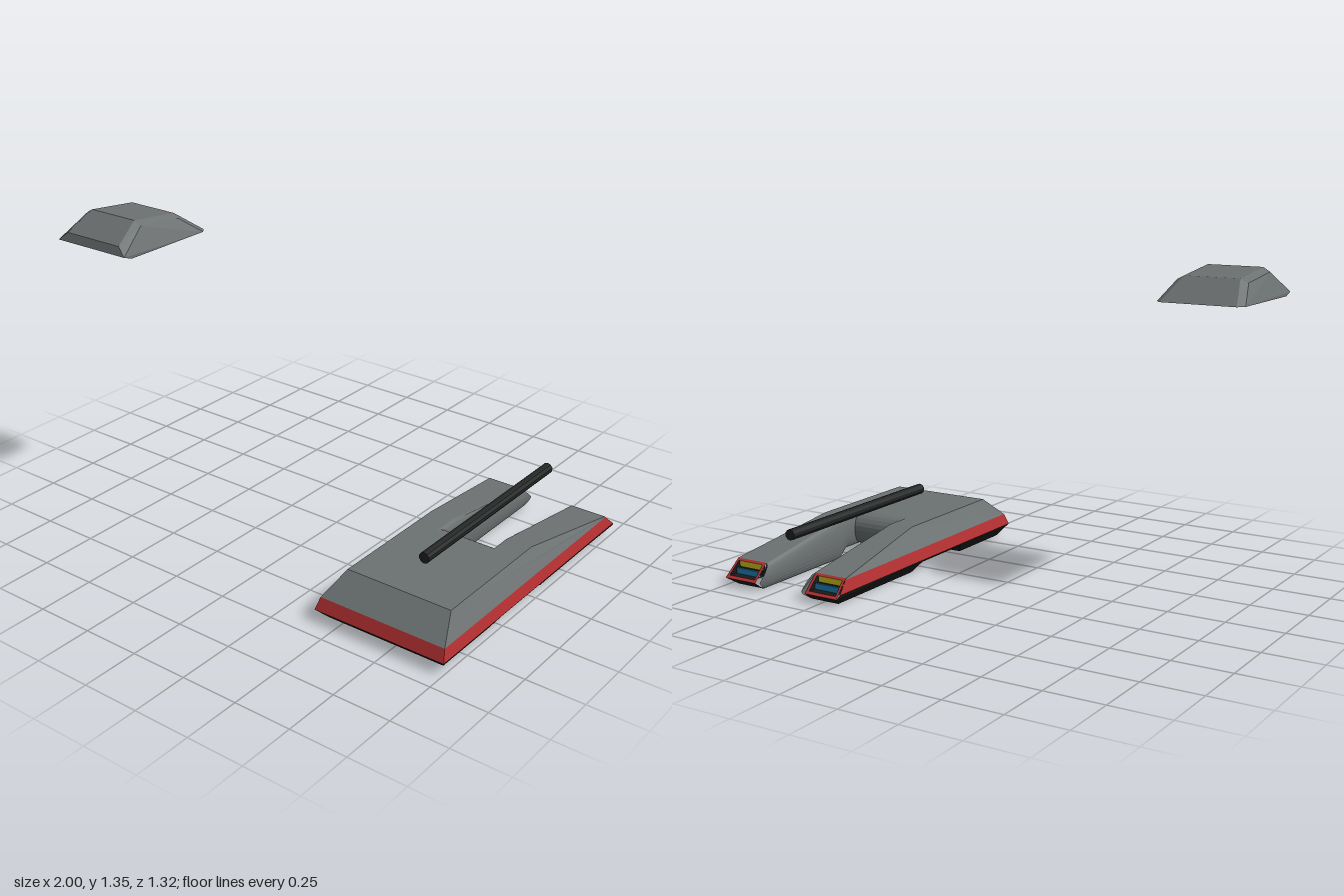
import * as THREE from 'three';
import { ConvexGeometry } from 'three/addons/geometries/ConvexGeometry.js';

const paint = (name, color) => {
  const m = new THREE.MeshStandardMaterial({ color, flatShading: true });
  m.name = name;
  return m;
};

// Builds flat polygons [points, outward direction], mirrored across x = 0
function mirroredFaces(faces) {
  const pos = [];
  for (const s of [1, -1]) {
    for (const [pts, dir] of faces) {
      const v = pts.map((p) => new THREE.Vector3(p[0] * s, p[1], p[2]));
      const out = new THREE.Vector3(dir[0] * s, dir[1], dir[2]);
      const n = new THREE.Vector3();
      v.forEach((p, i) => n.add(p.clone().cross(v[(i + 1) % v.length])));
      if (n.dot(out) < 0) v.reverse();
      for (let i = 1; i < v.length - 1; i++) {
        for (const p of [v[0], v[i], v[i + 1]]) pos.push(p.x, p.y, p.z);
      }
    }
  }
  const g = new THREE.BufferGeometry();
  g.setAttribute('position', new THREE.Float32BufferAttribute(pos, 3));
  g.computeVertexNormals();
  return g;
}

export function createModel() {
  const grey = paint('armourGrey', 0x6c7171);
  const red = paint('trimRed', 0xb83032);
  const black = paint('underbodyBlack', 0x1a1a1a);
  const dark = paint('barrelBlack', 0x222424);
  const blue = paint('glowBlue', 0x1f86bb);
  const yellow = paint('lampYellow', 0xd6c81c);

  const model = new THREE.Group();
  const hull = new THREE.Group();
  hull.name = 'hull';
  hull.position.x = 0.7;
  model.add(hull);
  const add = (parent, name, geo, mat) => {
    const m = new THREE.Mesh(geo, mat);
    m.name = name;
    parent.add(m);
    return m;
  };
  const UP = [0, 1, 0], DOWN = [0, -1, 0], SIDE = [1, 0, 0], FRONT = [0, 0, 1], BACK = [0, 0, -1];
  const w = 0.132; // inner edge of each arm

  // Upper armour: deck, sloping arms, nose and flanks
  add(hull, 'upperArmour', mirroredFaces([
    [[[0, 0.19, 0.53], [0.24, 0.19, 0.53], [0.24, 0.19, 0.07], [0, 0.19, 0.07]], UP],
    [[[w, 0.19, 0.07], [0.24, 0.19, 0.07], [0.24, 0.19, -0.05], [w, 0.19, -0.05]], UP],
    [[[w, 0.19, -0.05], [0.24, 0.19, -0.05], [0.287, 0.105, -0.585], [w, 0.105, -0.585]], UP],
    [[[0, 0.19, 0.53], [0.24, 0.19, 0.53], [0.288, 0.1, 0.64], [0, 0.1, 0.64]], FRONT],
    [[[0.24, 0.19, 0.53], [0.288, 0.1, 0.64], [0.288, 0.1, -0.59], [0.287, 0.105, -0.585], [0.24, 0.19, -0.05]], SIDE],
  ]), grey);

  // Rounded wall lining the slot between the arms
  const N = 12;
  const section = (top, bottom, zOf) => Array.from({ length: N + 1 }, (_, k) => {
    const a = (Math.PI * k) / N;
    const y = (top + bottom) / 2 + ((top - bottom) / 2) * Math.cos(a);
    return [w - 0.022 * Math.sin(a), y, zOf(y, a)];
  });
  const sections = [
    section(0.19, 0.04, (y, a) => 0.07 - 0.07 * Math.sin(a)),
    section(0.19, 0.04, () => -0.05),
    section(0.183, 0, () => -0.095),
    section(0.105, 0, () => -0.585),
    section(0.105, 0, (y) => (y > 0.035 ? -0.585 - ((0.105 - y) / 0.07) * 0.075 : -0.61 - (0.05 * y) / 0.035)),
  ];
  const wall = [];
  for (let k = 0; k < N; k++) {
    const tilt = Math.cos((Math.PI * (k + 0.5)) / N);
    const [p, q] = [sections[0][k], sections[0][k + 1]];
    wall.push([[[0, p[1], p[2]], p, q, [0, q[1], q[2]]], [0, tilt, -1]]);
    for (let i = 0; i < sections.length - 1; i++) {
      const [a, b] = [sections[i], sections[i + 1]];
      wall.push([[a[k], b[k], b[k + 1], a[k + 1]], [-1, tilt, 0]]);
    }
  }
  wall.push([sections[4], BACK]);
  add(hull, 'slotWall', mirroredFaces(wall), grey);

  // Red band round the hull and frames at the ends of the arms
  const outer = [[0.287, 0.105, -0.585], [w, 0.105, -0.585], [w, 0.035, -0.66], [0.294, 0.035, -0.66]];
  const inner = [[0.276, 0.097, -0.594], [0.145, 0.097, -0.594], [0.145, 0.045, -0.649], [0.281, 0.045, -0.649]];
  const next = (i) => (i + 1) % 4;
  add(hull, 'redBand', mirroredFaces([
    [[[0, 0.1, 0.64], [0.288, 0.1, 0.64], [0.3, 0.05, 0.663], [0, 0.05, 0.663]], FRONT],
    [[[0.288, 0.1, 0.64], [0.3, 0.05, 0.663], [0.3, 0.05, -0.645], [0.288, 0.1, -0.59]], SIDE],
    ...outer.map((p, i) => [[p, outer[next(i)], inner[next(i)], inner[i]], [0, 1, -1]]),
  ]), red);

  // Dark recess inside each frame
  const deep = inner.map(([x, y]) => [x, y, -0.578]);
  const inward = [DOWN, SIDE, UP, [-1, 0, 0]];
  add(hull, 'rearRecess', mirroredFaces([
    [deep, BACK],
    ...inner.map((p, i) => [[p, inner[next(i)], deep[next(i)], deep[i]], inward[i]]),
  ]), black);
  for (const s of [1, -1]) {
    const lamp = add(hull, 'rearLamp', new THREE.BoxGeometry(0.122, 0.026, 0.009), yellow);
    lamp.position.set(0.211 * s, 0.083, -0.587);
    const glow = add(hull, 'rearGlow', new THREE.BoxGeometry(0.122, 0.025, 0.009), blue);
    glow.position.set(0.211 * s, 0.058, -0.61);
  }

  // Black underbody with a raised middle
  add(hull, 'underbody', mirroredFaces([
    [[[0, 0.05, 0.663], [0.3, 0.05, 0.663], [0.265, 0, 0.61], [0, 0, 0.61]], FRONT],
    [[[0.3, 0.05, 0.663], [0.265, 0, 0.61], [0.265, 0, 0.29], [0.293, 0.04, 0.25], [0.3, 0.05, 0.25]], SIDE],
    [[[0.3, 0.05, 0.25], [0.293, 0.04, 0.25], [0.293, 0.04, -0.05], [0.3, 0.05, -0.05]], SIDE],
    [[[0.293, 0.04, -0.05], [0.265, 0, -0.095], [0.265, 0, -0.61], [0.294, 0.035, -0.66], [0.3, 0.05, -0.645], [0.3, 0.05, -0.05]], SIDE],
    [[[0.3, 0.05, -0.645], [0.294, 0.035, -0.66], [0.287, 0.105, -0.585], [0.288, 0.1, -0.59]], SIDE],
    [[[0, 0, 0.29], [0.265, 0, 0.29], [0.293, 0.04, 0.25], [0, 0.04, 0.25]], BACK],
    [[[0, 0.04, 0.25], [0.293, 0.04, 0.25], [0.293, 0.04, 0.07], [0, 0.04, 0.07]], DOWN],
    [[[w, 0.04, 0.07], [0.293, 0.04, 0.07], [0.293, 0.04, -0.05], [w, 0.04, -0.05]], DOWN],
    [[[w, 0.04, -0.05], [0.293, 0.04, -0.05], [0.265, 0, -0.095], [w, 0, -0.095]], FRONT],
    [[[w, 0, -0.61], [0.265, 0, -0.61], [0.294, 0.035, -0.66], [w, 0.035, -0.66]], BACK],
  ]), black);

  // Blue hover pads
  add(hull, 'hoverPads', mirroredFaces([
    [[[0, 0, 0.61], [0.265, 0, 0.61], [0.265, 0, 0.29], [0, 0, 0.29]], DOWN],
    [[[w, 0, -0.095], [0.265, 0, -0.095], [0.265, 0, -0.61], [w, 0, -0.61]], DOWN],
  ]), blue);

  // Gun barrel
  const barrel = add(model, 'barrel', new THREE.CylinderGeometry(0.024, 0.024, 0.945, 10).rotateX(Math.PI / 2), dark);
  barrel.position.set(0.7, 0.246, -0.113);

  // Detached turret shell: [half width, y, z]
  const shell = [
    [0.1875, 1.23, 0.53], [0.1875, 1.245, 0.572], [0.145, 1.28, 0.558],
    [0.152, 1.335, 0.435], [0.12, 1.353, 0.438], [0.152, 1.31, 0.215],
    [0.12, 1.326, 0.208], [0.1875, 1.23, 0.105], [0.163, 1.23, 0.077],
  ];
  const points = shell.flatMap(([x, y, z]) => [1, -1].map((s) => new THREE.Vector3(x * s, y, z)));
  add(model, 'turret', new ConvexGeometry(points), grey).position.x = -0.8125;

  return model;
}
